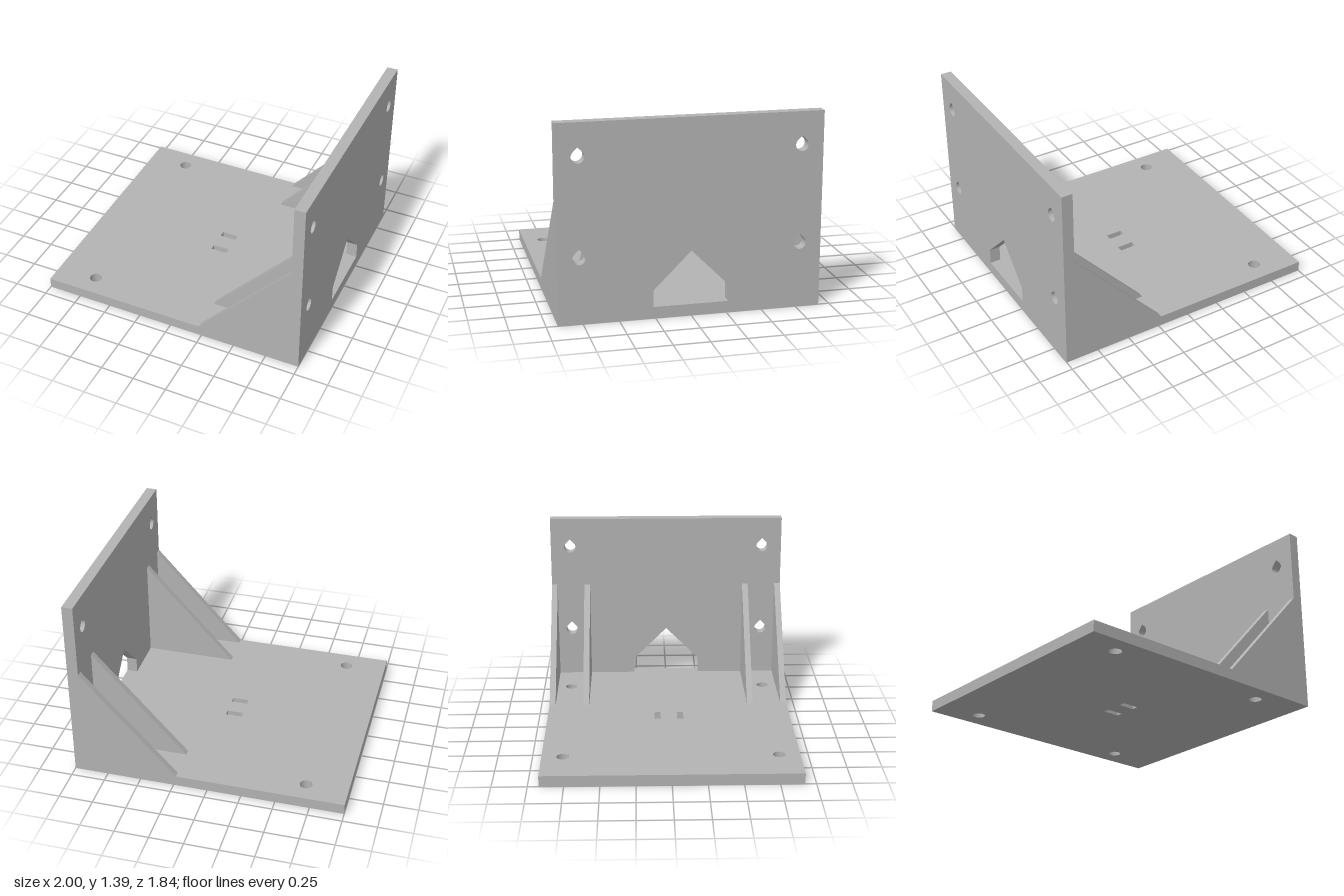
import * as THREE from 'three';
import { toCreasedNormals } from 'three/addons/utils/BufferGeometryUtils.js';

const T = 0.08;          // plate thickness
const HALF_Z = 0.922;    // half width of the bracket
const HEIGHT = 1.388;    // height of the upright plate
const HOLE_R = 0.045;
const HOLE_Z = 0.77;

const polygon = (points, Type = THREE.Shape) =>
  new Type(points.map(([x, y]) => new THREE.Vector2(x, y)));

const rect = (x0, y0, x1, y1, Type) =>
  polygon([[x0, y0], [x1, y0], [x1, y1], [x0, y1]], Type);

function roundHole(x, y) {
  const p = new THREE.Path();
  p.absarc(x, y, HOLE_R, 0, Math.PI * 2);
  return p;
}

// Round hole with a 45 degree pointed roof
function teardropHole(x, y) {
  const p = new THREE.Path();
  p.absarc(x, y, HOLE_R, Math.PI * 0.75, Math.PI * 2.25);
  p.lineTo(x, y + HOLE_R * Math.SQRT2);
  p.closePath();
  return p;
}

function plate(shape, depth) {
  const g = new THREE.ExtrudeGeometry(shape, { depth, bevelEnabled: false, curveSegments: 24 });
  return toCreasedNormals(g, 0.6);
}

export function createModel() {
  const model = new THREE.Group();
  model.name = 'mountingBracket';
  const grey = new THREE.MeshStandardMaterial({ color: 0xb3b3b3 });
  grey.name = 'grey';

  const add = (name, geometry) => {
    const mesh = new THREE.Mesh(geometry, grey);
    mesh.name = name;
    model.add(mesh);
    return mesh;
  };

  // Base plate with four screw holes and two cable tie slots
  const base = rect(-1, -HALF_Z, 1 - T, HALF_Z);
  for (const s of [-1, 1]) {
    for (const x of [-0.693, 0.613]) base.holes.push(roundHole(x, s * HOLE_Z));
    base.holes.push(rect(-0.046, s * 0.086 - 0.024, 0.077, s * 0.086 + 0.024, THREE.Path));
  }
  add('basePlate', plate(base, T).rotateX(-Math.PI / 2));

  // Upright plate with teardrop holes and a gabled opening
  const wall = rect(-HALF_Z, 0, HALF_Z, HEIGHT);
  for (const s of [-1, 1])
    for (const y of [0.463, 1.157]) wall.holes.push(teardropHole(s * HOLE_Z, y));
  wall.holes.push(polygon(
    [[-0.263, T], [0.263, T], [0.263, 0.2], [0, 0.463], [-0.263, 0.2]], THREE.Path));
  add('uprightPlate', plate(wall, T).rotateY(Math.PI / 2)).position.x = 1 - T;

  // Two pairs of triangular gusset ribs
  const ribWidth = 0.046;
  const rib = plate(polygon([[0.23, T], [1 - T, T], [1 - T, 0.843]]), ribWidth)
    .translate(0, 0, -ribWidth / 2);
  for (const s of [-1, 1]) {
    add('outerRib', rib).position.z = s * (HALF_Z - ribWidth / 2);
    add('innerRib', rib).position.z = s * 0.638;
  }
  return model;
}
